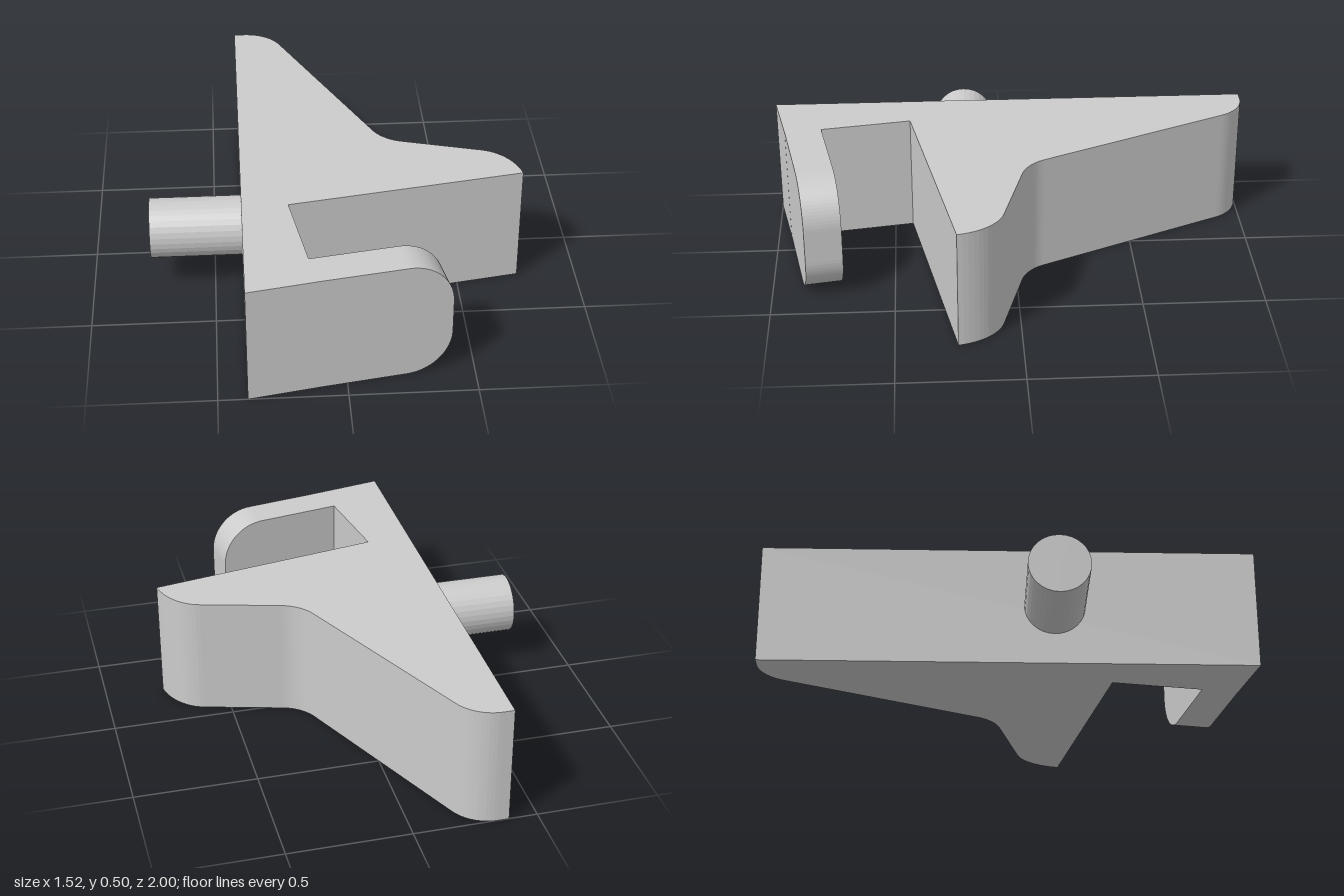
import * as THREE from 'three';

const HEIGHT = 0.5;
const material = new THREE.MeshStandardMaterial({ color: 0xcccccc, flatShading: true });

function addPart(group, name, geometry) {
  const mesh = new THREE.Mesh(geometry, material);
  mesh.name = name;
  group.add(mesh);
  return mesh;
}

// Near-circular fillet from (x0, y0) to (x1, y1) around the sharp corner (cx, cy)
function fillet(shape, x0, y0, cx, cy, x1, y1, k = 0.61) {
  shape.lineTo(x0, y0);
  shape.bezierCurveTo(
    x0 + (cx - x0) * k, y0 + (cy - y0) * k,
    x1 + (cx - x1) * k, y1 + (cy - y1) * k,
    x1, y1
  );
}

// Plan outline of the bracket (shape y = -z), extruded upwards
function bodyGeometry() {
  const s = new THREE.Shape();
  s.moveTo(-0.385, -1);
  s.lineTo(-0.113, -0.947);
  s.lineTo(-0.14, -0.797);
  s.lineTo(-0.2, -0.425);
  s.lineTo(0.757, -0.253);
  fillet(s, 0.757, -0.253, 0.73, -0.1, 0.61, -0.067);   // rounded nose
  fillet(s, 0.287, 0.023, 0.21, 0.045, 0.177, 0.118);   // inner bend
  fillet(s, -0.185, 0.9, -0.231, 1, -0.34, 1);          // rounded tail
  s.lineTo(-0.385, 1);
  return new THREE.ExtrudeGeometry(s, { depth: HEIGHT, bevelEnabled: false, curveSegments: 12 })
    .rotateX(-Math.PI / 2);
}

// Slanted lip with two rounded corners at its free end
function lipGeometry() {
  const length = 0.532, r = 0.18;
  const s = new THREE.Shape();
  s.moveTo(0, 0);
  s.lineTo(length - r, 0);
  s.absarc(length - r, r, r, -Math.PI / 2, 0, false);
  s.absarc(length - r, HEIGHT - r, r, 0, Math.PI / 2, false);
  s.lineTo(0, HEIGHT);
  return new THREE.ExtrudeGeometry(s, { depth: 0.152, bevelEnabled: false, curveSegments: 10 });
}

export function createModel() {
  const group = new THREE.Group();
  group.name = 'hookBracket';

  addPart(group, 'body', bodyGeometry());

  const lip = addPart(group, 'lip', lipGeometry());
  lip.position.set(-0.14, 0, 0.797);
  lip.rotation.y = THREE.MathUtils.degToRad(10);

  // Round peg on the back face
  const peg = addPart(group, 'peg', new THREE.CylinderGeometry(0.123, 0.123, 0.395, 32));
  peg.rotation.z = Math.PI / 2;
  peg.position.set(-0.5605, 0.252, 0.185);

  return group;
}
